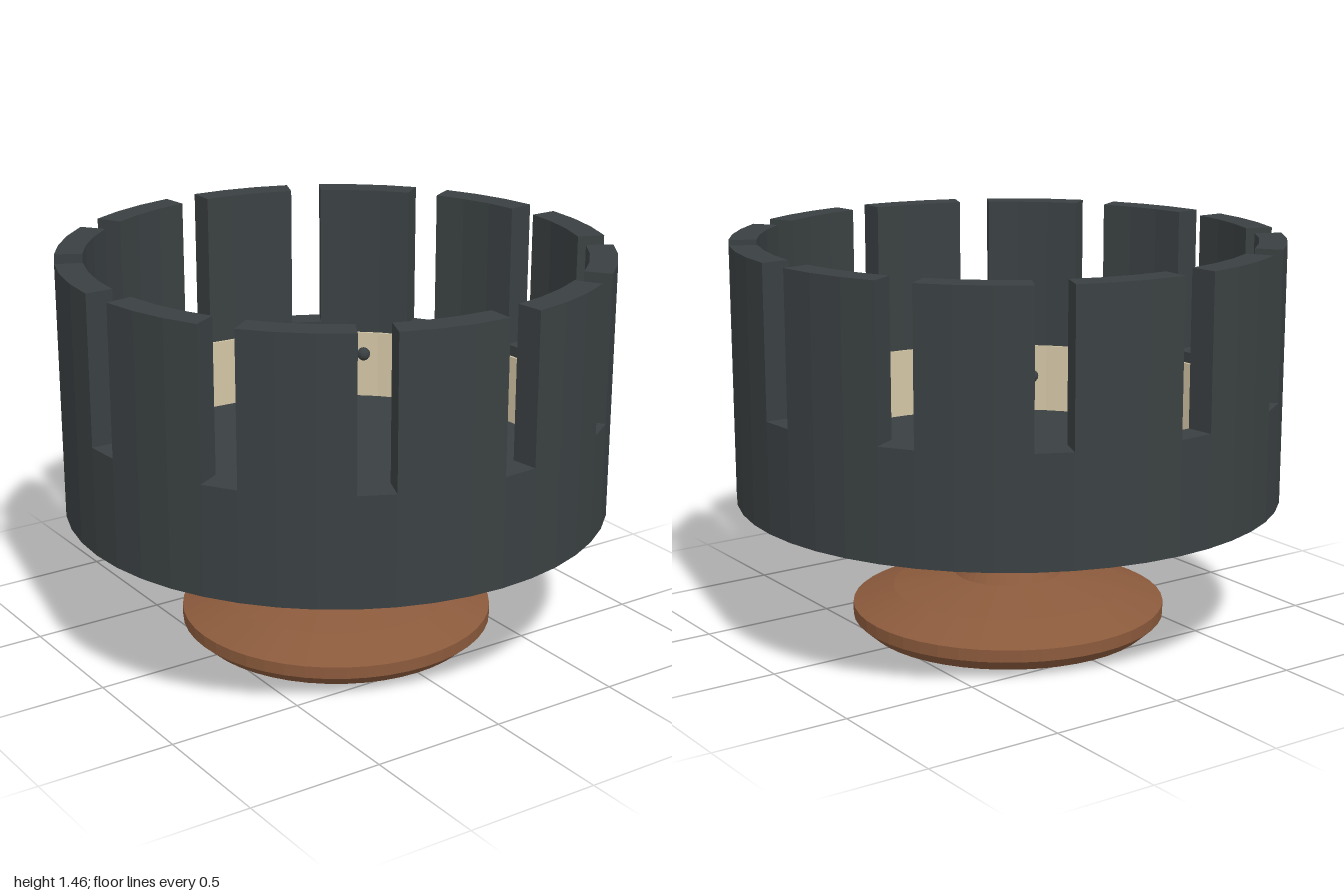
import * as THREE from 'three';

const SEGMENTS = 48;
const STEP = (Math.PI * 2) / SEGMENTS;

const flat = (color) => new THREE.MeshStandardMaterial({ color, flatShading: true });

export function createModel() {
  const model = new THREE.Group();
  const iron = flat(0x3a4042);
  const cream = flat(0xd2c4a4);
  const brass = flat(0xa88c58);
  const wood = flat(0x8b5a3c);

  const add = (name, geometry, material, parent = model) => {
    const mesh = new THREE.Mesh(geometry, material);
    mesh.name = name;
    parent.add(mesh);
    return mesh;
  };
  // Turned part from [radius, height] pairs, listed bottom to top on the outside
  const turned = (profile, segments = SEGMENTS) =>
    new THREE.LatheGeometry(profile.map(([r, y]) => new THREE.Vector2(r, y)), segments);

  // Foot, collar and shaft
  add('foot', turned([[0, 0], [0.53, 0], [0.58, 0.045], [0.58, 0.09], [0.43, 0.15],
    [0.2, 0.2], [0.125, 0.31], [0.125, 0.38], [0, 0.38]]), wood);
  add('collar', turned([[0, 0.37], [0.185, 0.37], [0.2, 0.415], [0.2, 0.46],
    [0.165, 0.49], [0, 0.49]], 32), brass);
  add('shaft', new THREE.CylinderGeometry(0.0625, 0.0625, 0.2, 24).translate(0, 0.54, 0), brass);

  // Cup with solid floor, up to the bottom of the slots
  add('cup', turned([[0, 0.512], [1, 0.512], [1, 0.912], [0.9, 0.912], [0.9, 0.6], [0, 0.6]]), iron);

  // Thin liner inside the cup
  add('liner', turned([[0.89, 0.6], [0.9, 0.6], [0.9, 0.87], [0.89, 0.87], [0.89, 0.6]]), cream);

  // Teeth: three facets wide, separated by slots one facet wide
  const sector = [];
  const corner = (r, i) => new THREE.Vector2(r * Math.sin(i * STEP), -r * Math.cos(i * STEP));
  for (let i = 1; i <= 4; i++) sector.push(corner(1, i));
  for (let i = 4; i >= 1; i--) sector.push(corner(0.9, i));
  const toothGeometry = new THREE.ExtrudeGeometry(new THREE.Shape(sector),
    { depth: 0.546, bevelEnabled: false });
  toothGeometry.rotateX(-Math.PI / 2).translate(0, 0.912, 0);

  // Studs on the liner, one under each tooth, on a slightly tilted ring
  const studGeometry = new THREE.SphereGeometry(0.027, 12, 8);
  const teeth = new THREE.Group();
  teeth.name = 'teeth';
  const studs = new THREE.Group();
  studs.name = 'studs';
  model.add(teeth, studs);
  for (let k = 0; k < 12; k++) {
    const turn = k * 4 * STEP;
    add('tooth', toothGeometry, iron, teeth).rotation.y = turn;
    const a = turn + 2.5 * STEP;
    const y = 0.765 - 0.07 * Math.cos(a - 0.58);
    add('stud', studGeometry, iron, studs).position.set(0.875 * Math.sin(a), y, 0.875 * Math.cos(a));
  }

  return model;
}
